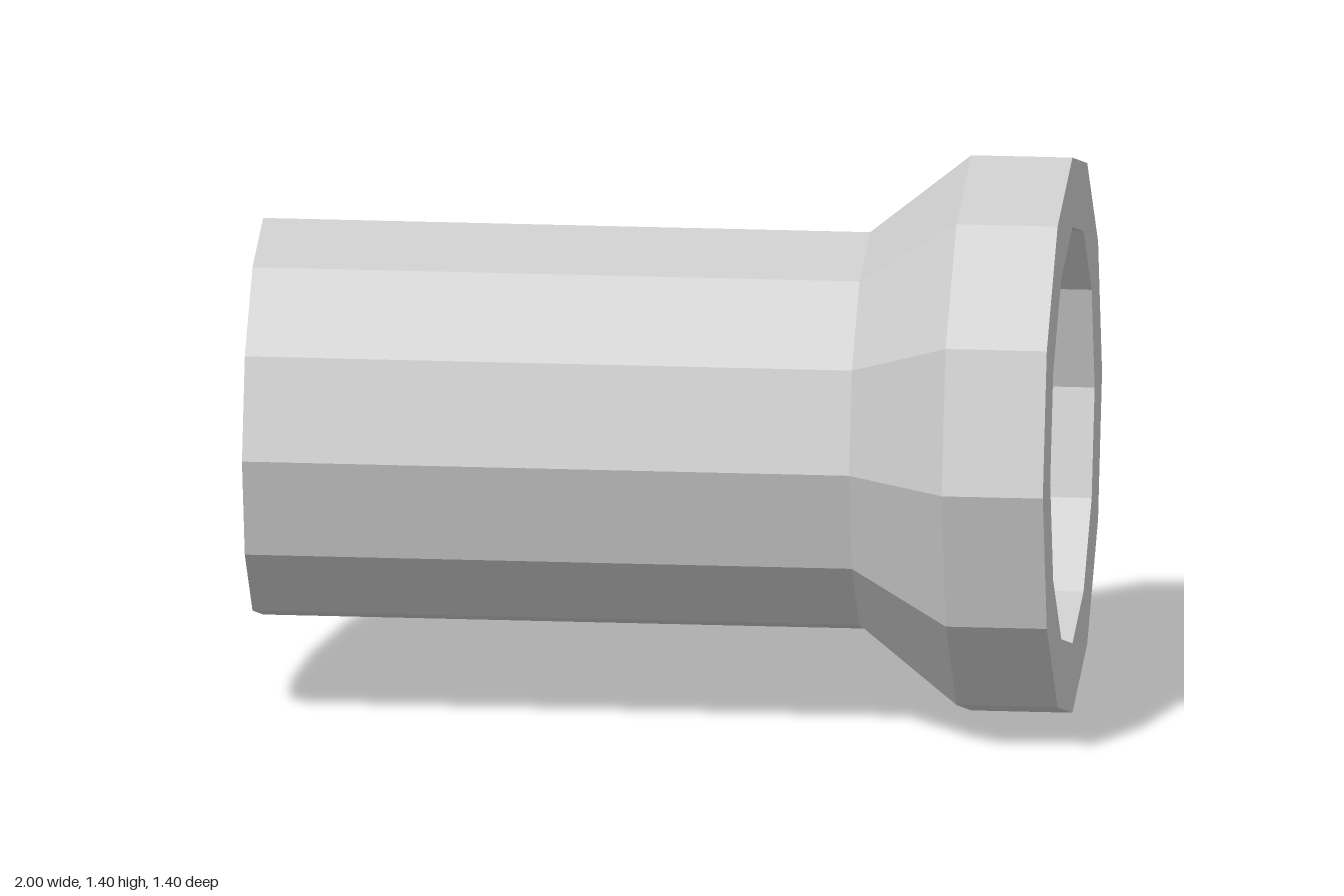
import * as THREE from 'three';

const SIDES = 12;
const BORE = 0.75; // inner radius as a share of the outer radius

export function createModel() {
  const model = new THREE.Group();
  model.name = 'flaredPipe';

  // Outer wall as [radius, position along the pipe], from plain end to flared end
  const outer = [[0.5, -1], [0.5, 0.5], [0.7, 0.75], [0.7, 1]];
  const inner = outer.map(([r, x]) => [r * BORE, x]).reverse();

  // Closed wall section: out along the outside, back through the bore
  const section = [...outer, ...inner, outer[0]].map(([r, x]) => new THREE.Vector2(r, x));
  const geometry = new THREE.LatheGeometry(section, SIDES).toNonIndexed();
  geometry.computeVertexNormals();
  geometry.rotateZ(-Math.PI / 2); // lay the axis along x, flare towards +x

  const pipe = new THREE.Mesh(
    geometry,
    new THREE.MeshStandardMaterial({ color: 0xcccccc, flatShading: true })
  );
  pipe.name = 'pipeWall';
  pipe.position.y = 0.7;
  model.add(pipe);

  return model;
}
